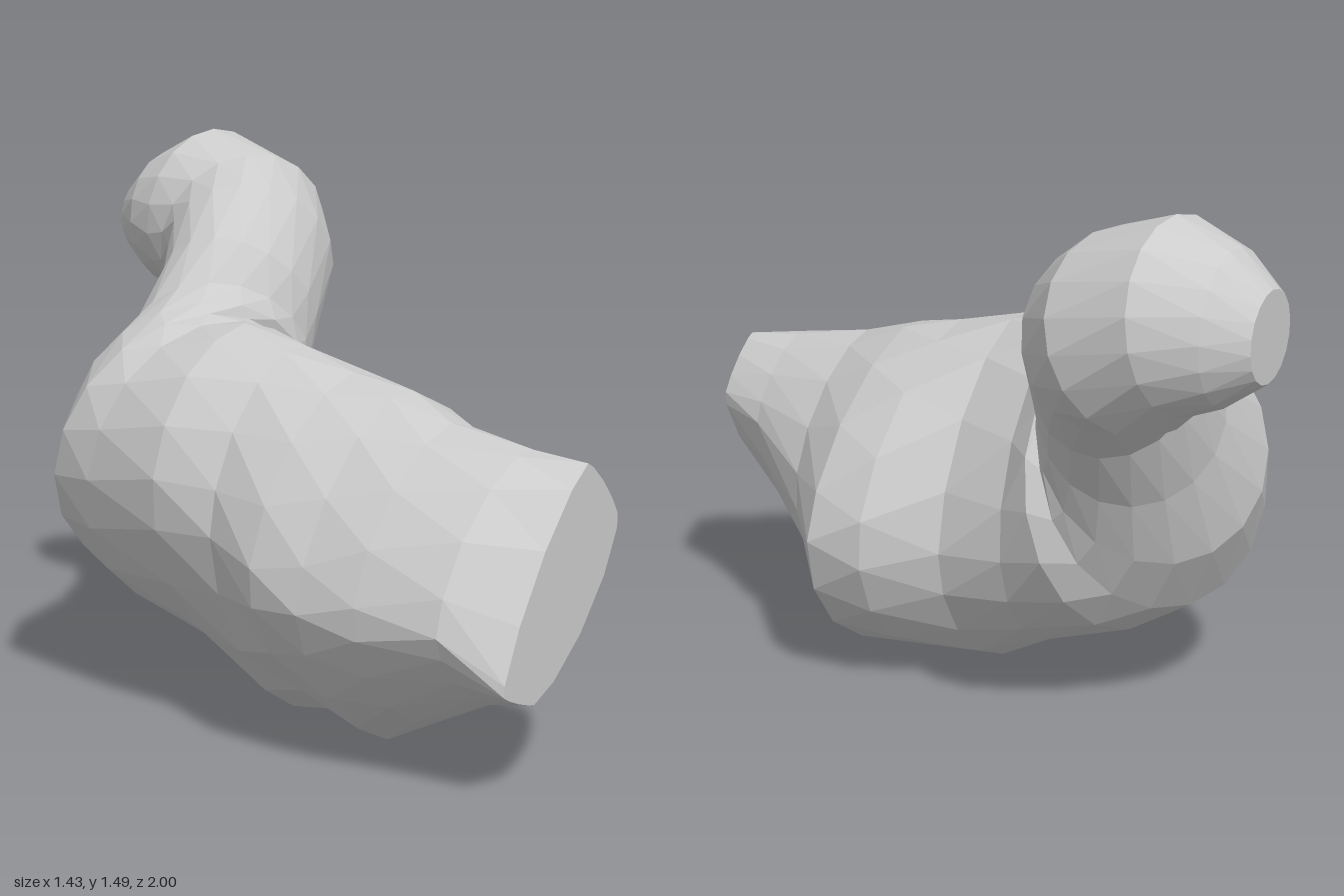
import * as THREE from 'three';

// Trunk sections: z, then left, right, top and bottom extreme points (x, y),
// corner flatness, and flatness of the swelling lower right corner.
const TRUNK = [
  [1.00, -0.66, 0.29, -0.13, 0.64, -0.28, 0.80, -0.52, 0.24, 1.6, 1.45],
  [0.84, -0.71, 0.42, -0.06, 0.60, -0.30, 0.82, -0.45, 0.20, 1.3, 1.15],
  [0.60, -0.72, 0.42, 0.11, 0.48, -0.28, 0.86, -0.36, 0.09, 1.25, 1.0],
  [0.42, -0.71, 0.42, 0.33, 0.42, -0.24, 0.92, -0.27, 0.00, 1.3, 0.95],
  [0.25, -0.68, 0.46, 0.34, 0.44, -0.22, 0.95, -0.18, 0.03, 1.25, 0.95],
  [0.05, -0.58, 0.55, 0.25, 0.42, -0.20, 1.00, -0.18, 0.01, 1.2, 1.1],
  [-0.15, -0.57, 0.62, 0.27, 0.50, -0.16, 1.04, -0.10, 0.12, 1.1, 1.0],
];

// Bent sections: centre x, y, z, turn in degrees, radius across, radius along the bend.
const BEND = [
  // rear bend
  [-0.085, 0.62, -0.35, 17, 0.42, 0.41],
  [-0.08, 0.67, -0.44, 28, 0.39, 0.40],
  [0.01, 0.77, -0.475, 44, 0.34, 0.34],
  // neck
  [0.13, 0.89, -0.47, 60, 0.28, 0.25],
  [0.24, 1.03, -0.48, 75, 0.265, 0.22],
  [0.37, 1.15, -0.54, 60, 0.27, 0.235],
  // rounded head
  [0.46, 1.19, -0.64, 35, 0.27, 0.26],
  [0.475, 1.25, -0.78, 10, 0.25, 0.25],
  [0.45, 1.23, -0.90, 0, 0.20, 0.19],
  [0.45, 1.22, -1.00, 0, 0.12, 0.11],
];
const SIDES = 18;
const ACROSS = new THREE.Vector3(-0.66, 0.75, 0).normalize();
const SLOPE = new THREE.Vector3(0.75, 0.66, 0).normalize();
const START = Math.atan2(ACROSS.y, ACROSS.x);

// four curved quarters joined at the extreme points
function trunkPoint([z, lx, ly, rx, ry, tx, ty, bx, by, flat, lowerRight], t) {
  const c = Math.cos(START - t), s = Math.sin(START - t);
  const [hx, hy] = c > 0 ? [rx, ry] : [lx, ly];
  const [vx, vy] = s > 0 ? [tx, ty] : [bx, by];
  const power = c > 0 && s < 0 ? lowerRight : flat;
  return [
    vx + (hx - vx) * Math.abs(c) ** power,
    hy + (vy - hy) * Math.abs(s) ** power,
    z,
  ];
}

// tilted ellipse
function bendPoint([x, y, z, turn, ru, rv], t) {
  const angle = THREE.MathUtils.degToRad(turn);
  const along = SLOPE.clone().multiplyScalar(Math.cos(angle));
  along.z = Math.sin(angle);
  return new THREE.Vector3(x, y, z)
    .addScaledVector(ACROSS, ru * Math.cos(t))
    .addScaledVector(along, rv * Math.sin(t))
    .toArray();
}

// skin over rings of points, closed with flat ends
function loft(rings) {
  const positions = rings.flat(2);
  const index = [];
  const last = rings.length - 1;
  for (const ring of [rings[0], rings[last]]) {
    for (let axis = 0; axis < 3; axis++) {
      positions.push(ring.reduce((sum, p) => sum + p[axis], 0) / SIDES);
    }
  }
  const front = rings.length * SIDES;
  for (let j = 0; j < SIDES; j++) {
    const k = (j + 1) % SIDES;
    for (let i = 0; i < last; i++) {
      const a = i * SIDES + j, b = i * SIDES + k;
      index.push(a, b, a + SIDES, b, b + SIDES, a + SIDES);
    }
    index.push(front, k, j, front + 1, last * SIDES + j, last * SIDES + k);
  }
  const geometry = new THREE.BufferGeometry();
  geometry.setAttribute('position', new THREE.Float32BufferAttribute(positions, 3));
  geometry.setIndex(index);
  geometry.computeVertexNormals();
  return geometry;
}

export function createModel() {
  const sections = [
    ...TRUNK.map((row) => (t) => trunkPoint(row, t)),
    ...BEND.map((row) => (t) => bendPoint(row, t)),
  ];
  // half-step stagger per ring gives the faceted skin
  const rings = sections.map((point, i) =>
    Array.from({ length: SIDES }, (_, j) => point(((j + i / 2) / SIDES) * Math.PI * 2)));

  const group = new THREE.Group();
  const material = new THREE.MeshStandardMaterial({ color: 0xcccccc, flatShading: true });
  const body = new THREE.Mesh(loft(rings), material);
  body.name = 'bentLumpyBody';
  group.add(body);
  return group;
}
